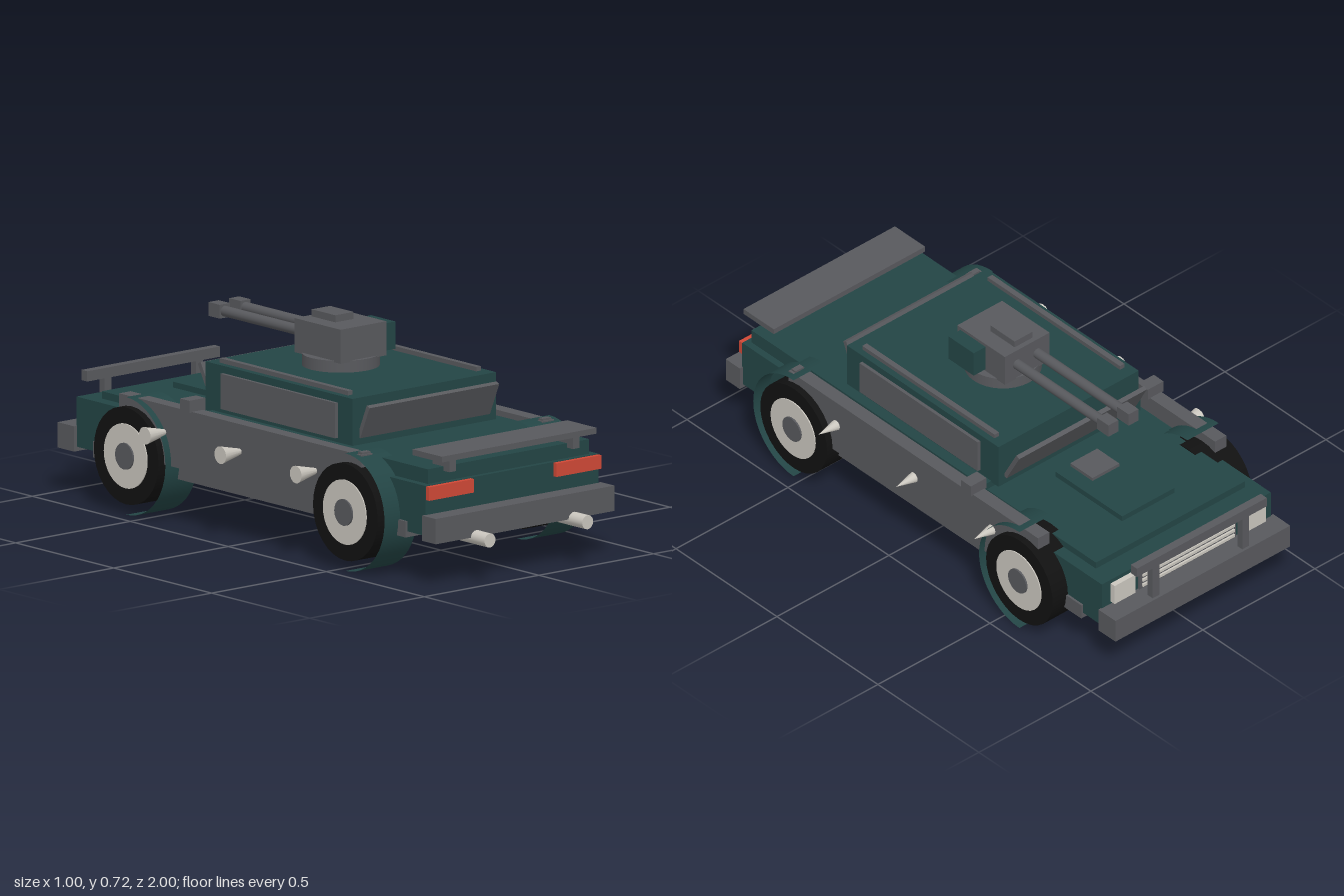
import * as THREE from 'three';

const mat = (name, color, side = THREE.FrontSide) => {
  const m = new THREE.MeshStandardMaterial({ color, side });
  m.name = name;
  return m;
};

export function createModel() {
  const green = mat('darkGreen', 0x234545, THREE.DoubleSide);
  const grey = mat('armorGrey', 0x58595d);
  const pale = mat('paleMetal', 0xcac6be);
  const black = mat('tyreBlack', 0x111111);
  const red = mat('lampRed', 0xd04836);

  const car = new THREE.Group();
  car.name = 'armoredCar';

  const add = (name, geometry, material, parent = car) => {
    const mesh = new THREE.Mesh(geometry, material);
    mesh.name = name;
    parent.add(mesh);
    return mesh;
  };
  // Box given by its limits on each axis
  const box = (name, material, x0, x1, y0, y1, z0, z1, parent = car) => {
    const mesh = add(name, new THREE.BoxGeometry(x1 - x0, y1 - y0, z1 - z0), material, parent);
    mesh.position.set((x0 + x1) / 2, (y0 + y1) / 2, (z0 + z1) / 2);
    return mesh;
  };
  // Box symmetric about x = 0
  const wide = (name, material, hw, ...rest) => box(name, material, -hw, hw, ...rest);
  // Pair of boxes mirrored in x
  const pair = (name, material, x0, x1, ...rest) => {
    box(name + 'Left', material, x0, x1, ...rest);
    box(name + 'Right', material, -x1, -x0, ...rest);
  };
  const axle = (name, material, r, length, x, y, z) => {
    const mesh = add(name, new THREE.CylinderGeometry(r, r, length, 32).rotateZ(Math.PI / 2), material);
    mesh.position.set(x, y, z);
  };
  const rod = (name, material, r, x, y, z0, z1, parent = car) => {
    const mesh = add(name, new THREE.CylinderGeometry(r, r, z1 - z0, 16).rotateX(Math.PI / 2), material, parent);
    mesh.position.set(x, y, (z0 + z1) / 2);
  };

  // Lower body
  wide('chassis', grey, 0.385, 0.145, 0.2, -0.825, 0.77);
  wide('body', green, 0.377, 0.165, 0.335, -0.918, 0.863);
  wide('hood', green, 0.333, 0.33, 0.36, -0.84, -0.3);
  wide('hoodBulge', green, 0.117, 0.35, 0.38, -0.73, -0.4);
  wide('hoodVent', grey, 0.06, 0.375, 0.392, -0.52, -0.41);
  wide('rearDeck', green, 0.352, 0.33, 0.385, -0.3, 0.845);
  wide('underPipe', grey, 0.025, 0.137, 0.15, 0.25, 0.38);

  // Cabin with armor over the windows
  wide('cabin', green, 0.313, 0.38, 0.545, -0.335, 0.415);
  pair('windowArmor', grey, 0.305, 0.325, 0.4, 0.52, -0.245, 0.34);
  pair('roofRail', grey, 0.27, 0.29, 0.54, 0.56, -0.29, 0.365);
  const rearShield = wide('rearShield', grey, 0.283, -0.06, 0.06, -0.008, 0.008);
  rearShield.position.set(0, 0.466, 0.436);
  rearShield.rotation.x = 0.41;
  const frontShield = wide('frontShield', grey, 0.285, -0.066, 0.066, -0.008, 0.008);
  frontShield.position.set(0, 0.467, -0.368);
  frontShield.rotation.x = -0.5;

  // Side armor, boxes on it, and spikes that all point the same way
  pair('sideArmor', grey, 0.37, 0.42, 0.195, 0.398, -0.65, 0.585);
  pair('sideBox', grey, 0.36, 0.43, 0.395, 0.437, -0.328, -0.28);
  pair('sideBracket', grey, 0.375, 0.412, 0.39, 0.405, 0.56, 0.58);
  for (const z of [-0.42, -0.035, 0.35]) {
    for (const x of [-0.44, 0.435]) {
      const spike = add('spike', new THREE.ConeGeometry(0.03, 0.13, 16).rotateZ(-Math.PI / 2), pale);
      spike.position.set(x, 0.305, z);
    }
  }

  // Wheels and half-round mudguards
  for (const z of [-0.585, 0.533]) {
    for (const s of [-1, 1]) {
      axle('tyre', black, 0.165, 0.14, s * 0.375, 0.2, z);
      axle('rim', pale, 0.11, 0.14, s * 0.379, 0.2, z);
      axle('hub', grey, 0.045, 0.14, s * 0.385, 0.2, z);
      const guard = new THREE.CylinderGeometry(0.2, 0.2, 0.14, 24, 1, true, -Math.PI / 2, Math.PI);
      add('mudguard', guard.rotateZ(Math.PI / 2), green).position.set(s * 0.375, 0.2, z);
    }
  }

  // Tail: lamps, bumper, exhausts, spoiler
  pair('tailLamp', red, 0.18, 0.376, 0.287, 0.333, 0.86, 0.88);
  wide('rearBumper', grey, 0.39, 0.15, 0.236, 0.86, 0.93);
  for (const x of [-0.213, 0.213]) rod('exhaust', pale, 0.024, x, 0.149, 0.86, 1);
  wide('spoiler', grey, 0.338, 0.415, 0.435, 0.75, 0.9);
  pair('spoilerPost', grey, 0.255, 0.284, 0.37, 0.416, 0.79, 0.875);

  // Nose: bumper, push bar, headlamps, grille
  wide('frontBumper', grey, 0.39, 0.15, 0.236, -1, -0.915);
  wide('pushBar', grey, 0.29, 0.365, 0.4, -0.995, -0.965);
  pair('pushBarPost', grey, 0.185, 0.215, 0.23, 0.37, -0.99, -0.965);
  pair('headlamp', pale, 0.245, 0.338, 0.245, 0.32, -0.938, -0.91);
  wide('grille', grey, 0.215, 0.236, 0.325, -0.925, -0.91);
  for (let i = 0; i < 4; i++) {
    const y = 0.25 + i * 0.021;
    wide('grilleBar', pale, 0.205, y - 0.005, y + 0.005, -0.932, -0.92);
  }

  // Turret
  const turret = new THREE.Group();
  turret.name = 'turret';
  car.add(turret);
  const ring = add('turretRing', new THREE.CylinderGeometry(0.13, 0.13, 0.043, 32), grey, turret);
  ring.position.set(0, 0.5635, -0.01);
  wide('turretBox', grey, 0.1, 0.58, 0.696, -0.13, 0.105, turret);
  wide('hatch', grey, 0.04, 0.69, 0.72, -0.112, 0.008, turret);
  box('ammoBox', green, 0.095, 0.153, 0.592, 0.685, -0.035, 0.09, turret);
  for (const x of [-0.045, 0.045]) {
    rod('barrel', grey, 0.018, x, 0.64, -0.59, -0.12, turret);
    box('muzzle', grey, x - 0.022, x + 0.022, 0.617, 0.664, -0.607, -0.55, turret);
  }
  return car;
}
